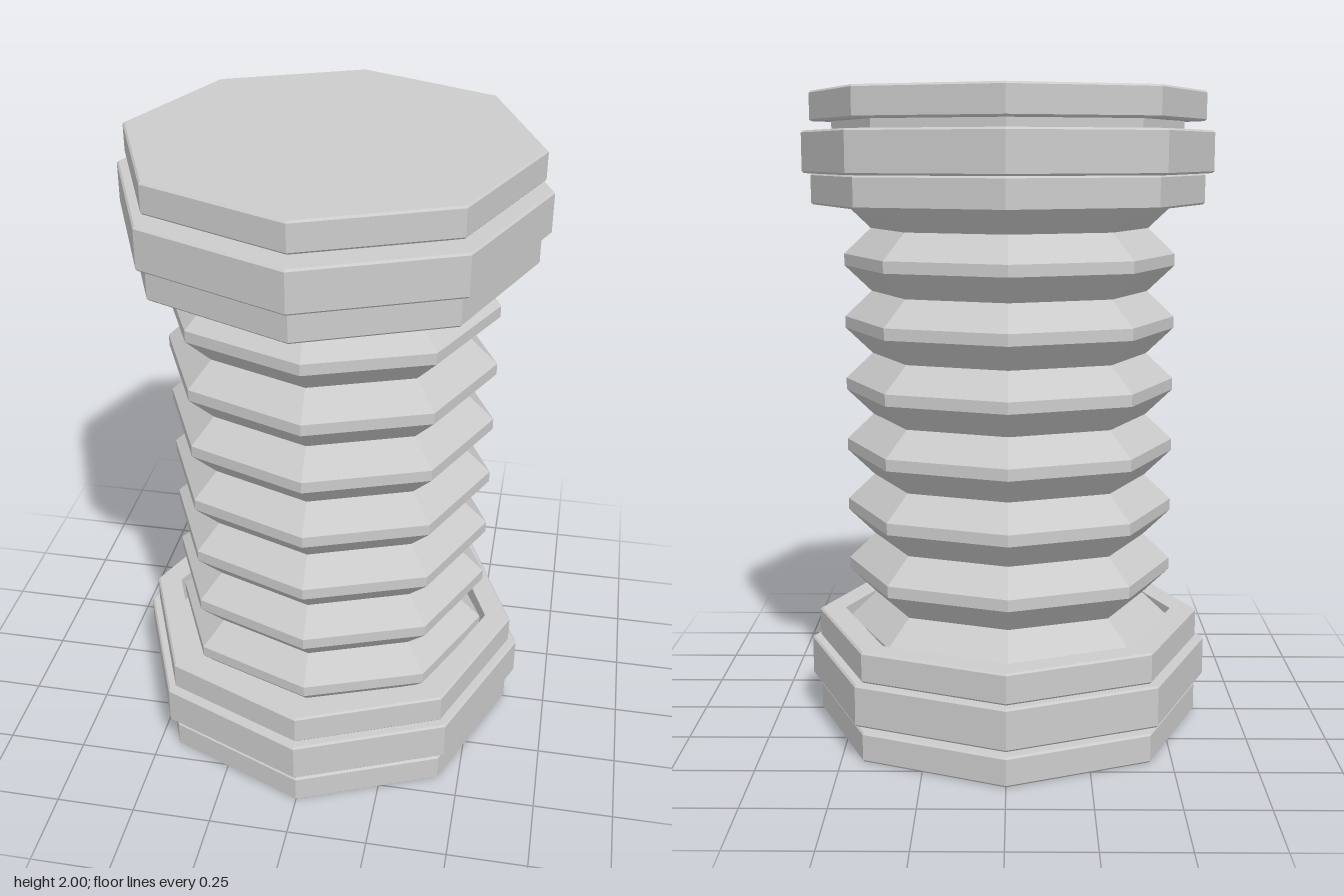
import * as THREE from 'three';

const SIDES = 8;
const material = new THREE.MeshStandardMaterial({ color: 0xcccccc, flatShading: true, side: THREE.DoubleSide });

// Eight-sided turned solid; profile is [radius, y] from bottom to top.
function turned(name, profile) {
  const points = profile.map(([r, y]) => new THREE.Vector2(r, y));
  const mesh = new THREE.Mesh(new THREE.LatheGeometry(points, SIDES), material);
  mesh.name = name;
  return mesh;
}

// Outer edge of one disc, with small chamfers.
function rim(r, y0, y1, c = 0.006) {
  return [[r - c, y0], [r, y0 + c], [r, y1 - c], [r - c, y1]];
}

// End fitting: base disc, groove, wide band and a hollow collar.
function endFitting(name) {
  return turned(name, [
    [0, 0],
    ...rim(0.613, 0, 0.092),
    [0.545, 0.092], [0.545, 0.12],
    ...rim(0.64, 0.12, 0.25),
    ...rim(0.613, 0.25, 0.346),
    [0.53, 0.346], [0.53, 0.25], [0, 0.25],
  ]);
}

export function createModel() {
  const model = new THREE.Group();
  model.name = 'bellowsJoint';

  model.add(endFitting('bottomFitting'));
  const top = endFitting('topFitting');
  top.rotation.x = Math.PI;
  top.position.y = 2;
  model.add(top);

  // Accordion sleeve: eight flat-edged ridges with sharp valleys between them.
  const pitch = 0.196, valley = 0.836;
  const profile = [[0.91, 0.245]];
  for (let i = 0; i < 8; i++) {
    const y = 0.29 + i * pitch;
    profile.push([1, y], [1, y + 0.036]);
    if (i < 7) profile.push([valley, y + 0.116]);
  }
  profile.push([0.91, 1.755]);
  const bellows = turned('bellows', profile);
  bellows.scale.set(0.516, 1, 0.46);
  bellows.position.set(-0.005, 0, -0.016);
  model.add(bellows);

  return model;
}
